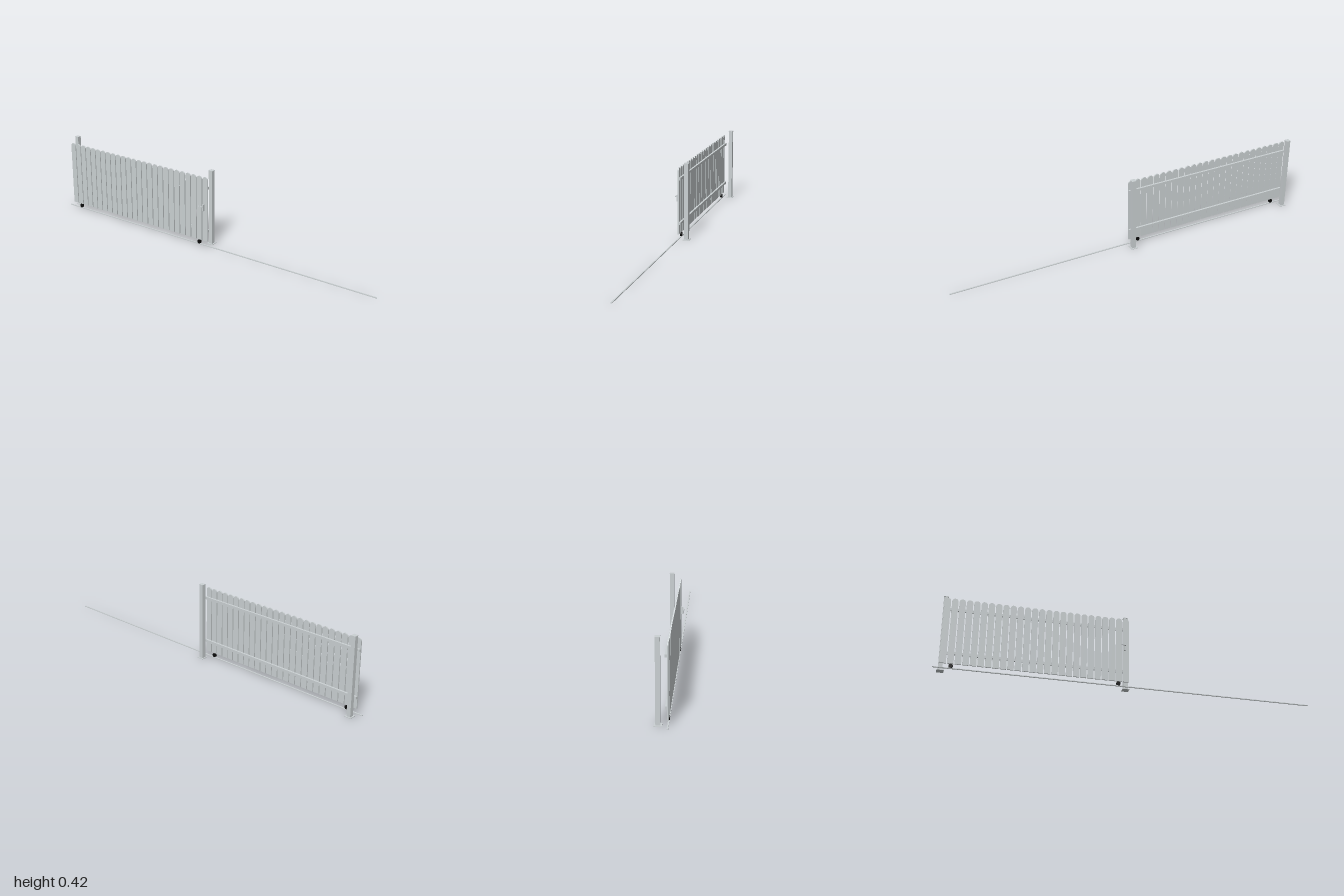
import * as THREE from 'three';

export function createModel() {
  const root = new THREE.Group();
  root.name = 'slidingGate';

  const material = (name, color) => {
    const m = new THREE.MeshStandardMaterial({ color });
    m.name = name;
    return m;
  };
  const steel = material('galvanised grey', 0xcbd1d3);
  const rubber = material('wheel black', 0x0a0a0a);

  const add = (name, geometry, mat, x, y, z, parent = root) => {
    const mesh = new THREE.Mesh(geometry, mat);
    mesh.name = name;
    mesh.position.set(x, y, z);
    parent.add(mesh);
  };
  // Steel box given by its minimum and maximum corners
  const box = (name, [x0, y0, z0], [x1, y1, z1], parent = root) =>
    add(name, new THREE.BoxGeometry(x1 - x0, y1 - y0, z1 - z0), steel,
      (x0 + x1) / 2, (y0 + y1) / 2, (z0 + z1) / 2, parent);

  // Ground track
  box('groundTrack', [-1, 0, 0.0155], [1, 0.004, 0.0225]);

  // Fixed posts with base plate and cap
  for (const [name, x] of [['rightPost', -0.958], ['leftPost', -0.007]]) {
    const post = new THREE.Group();
    post.name = name;
    root.add(post);
    box('basePlate', [x - 0.018, 0, -0.0435], [x + 0.018, 0.003, -0.007], post);
    box('column', [x - 0.011, 0.003, -0.0365], [x + 0.011, 0.415, -0.0145], post);
    box('cap', [x - 0.012, 0.415, -0.0375], [x + 0.012, 0.417, -0.0135], post);
  }

  // Round-topped slats
  const count = 26, left = -0.967, width = 0.0322, radius = width / 2;
  const pitch = (0.967 - width) / (count - 1);
  const bottom = 0.027, top = 0.389;
  const outline = new THREE.Shape();
  outline.moveTo(-radius, bottom);
  outline.lineTo(radius, bottom);
  outline.lineTo(radius, top - radius);
  outline.absarc(0, top - radius, radius, 0, Math.PI, false);
  outline.closePath();
  const slat = new THREE.ExtrudeGeometry(outline, { depth: 0.0065, bevelEnabled: false, curveSegments: 12 });
  const slats = new THREE.Group();
  slats.name = 'slats';
  root.add(slats);
  for (let i = 0; i < count; i++) add('slat', slat, steel, left + radius + i * pitch, 0, 0.016, slats);

  // Cross rails behind the slats
  box('lowerRail', [left, 0.08, 0.006], [0, 0.094, 0.016]);
  box('upperRail', [left, 0.323, 0.006], [0, 0.337, 0.016]);

  // Wheels running on the track
  const wheel = new THREE.CylinderGeometry(0.011, 0.011, 0.009, 24).rotateX(Math.PI / 2);
  for (const x of [-0.91, -0.055]) add('wheel', wheel, rubber, x, 0.015, 0.019);

  // Lock case with lever handle
  box('lockCase', [-0.027, 0.202, 0.0225], [-0.019, 0.238, 0.0335]);
  const spindle = new THREE.CylinderGeometry(0.0022, 0.0022, 0.011, 12).rotateX(Math.PI / 2);
  add('handleSpindle', spindle, steel, -0.022, 0.228, 0.0385);
  const lever = new THREE.CylinderGeometry(0.0022, 0.0022, 0.026, 12).rotateZ(Math.PI / 2);
  add('handleLever', lever, steel, -0.033, 0.228, 0.0415);

  return root;
}
